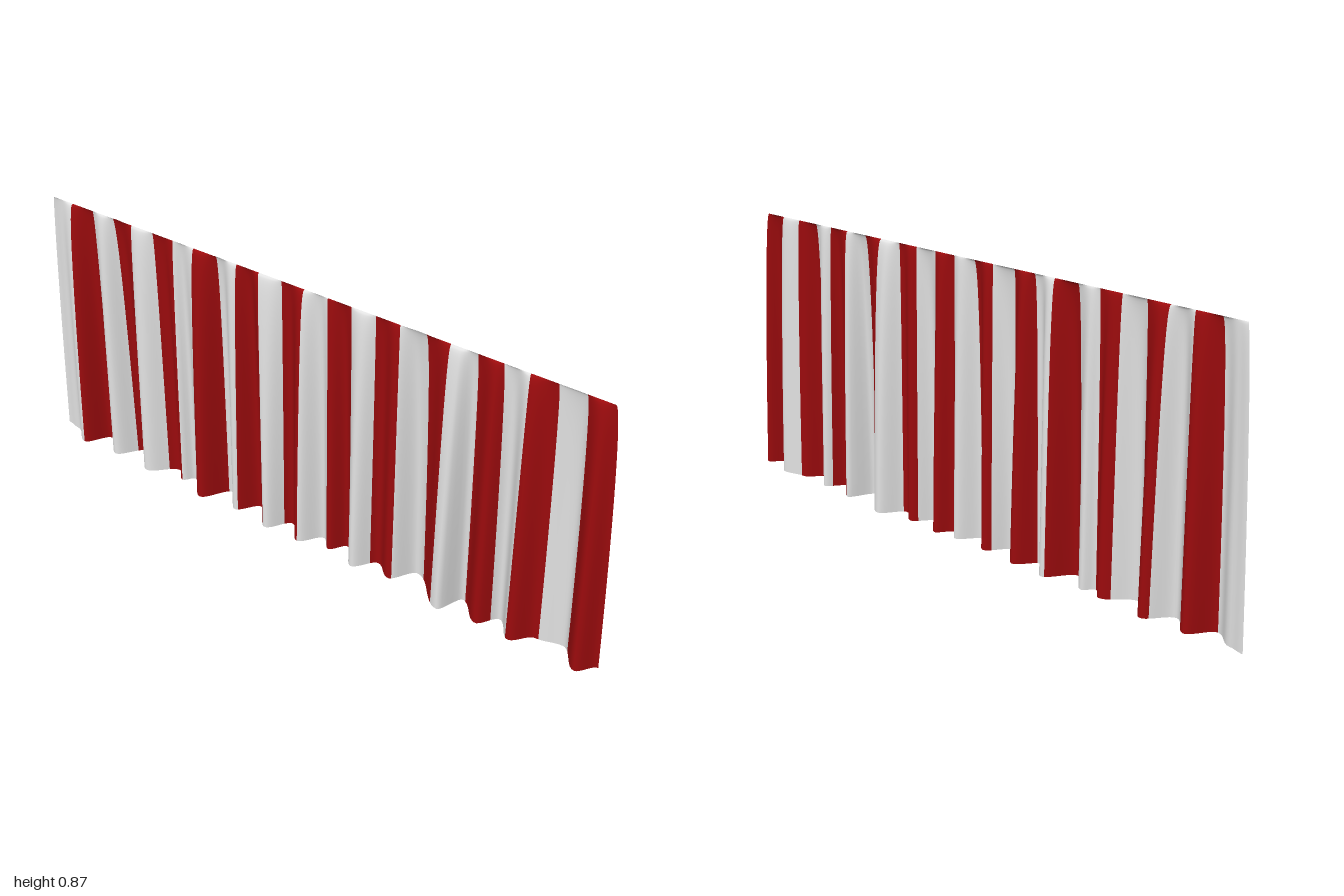
import * as THREE from 'three';

const HEIGHT = 0.865;
const TOP_HALF = 0.95;

// Stripe edges along the bottom hem, from front to back
const STRIPE_Z = [1, 0.9, 0.81, 0.73, 0.66, 0.56, 0.48, 0.41, 0.33, 0.24, 0.17, 0.09, 0.0,
  -0.08, -0.13, -0.24, -0.32, -0.4, -0.48, -0.55, -0.63, -0.7, -0.8, -0.88, -1];

// Crests and troughs of the folds along the bottom hem: [z, x]
const FOLDS = [[1, 0.01], [0.95, -0.04], [0.88, 0.03], [0.8, 0.012], [0.74, -0.04], [0.68, 0.02],
  [0.63, -0.035], [0.55, 0.03], [0.51, -0.05], [0.38, 0.05], [0.32, -0.02], [0.26, 0.02],
  [0.2, -0.04], [0.14, 0.03], [0.1, -0.015], [0.06, 0.02], [0, -0.04], [-0.06, 0.02],
  [-0.12, -0.045], [-0.19, 0.03], [-0.25, -0.03], [-0.31, 0.035], [-0.38, -0.045],
  [-0.45, 0.02], [-0.48, -0.01], [-0.52, 0.025], [-0.61, -0.038], [-0.68, 0.04],
  [-0.75, -0.03], [-0.82, 0.03], [-0.88, -0.04], [-0.95, 0.005], [-1, 0.015]];

// Smooth blend between neighbouring fold crests
function foldAt(z) {
  let i = 0;
  while (i < FOLDS.length - 2 && FOLDS[i + 1][0] > z) i++;
  const [z0, x0] = FOLDS[i], [z1, x1] = FOLDS[i + 1];
  const k = THREE.MathUtils.clamp((z0 - z) / (z0 - z1), 0, 1);
  return x0 + (x1 - x0) * (0.5 - 0.5 * Math.cos(Math.PI * k));
}

export function createModel() {
  const group = new THREE.Group();
  group.name = 'stripedCurtain';

  const red = new THREE.MeshStandardMaterial({ color: 0x9b0b0d, side: THREE.DoubleSide });
  red.name = 'curtain red';
  const white = new THREE.MeshStandardMaterial({ color: 0xe2e2e2, side: THREE.DoubleSide });
  white.name = 'curtain white';

  const stripes = STRIPE_Z.length - 1, perStripe = 12, rows = 32;
  const columns = stripes * perStripe;
  const positions = [], indices = [];

  // Cloth sheet: straight along the top, folds deepening towards the hem
  for (let c = 0; c <= columns; c++) {
    const s = Math.min(Math.floor(c / perStripe), stripes - 1);
    const zBottom = THREE.MathUtils.lerp(STRIPE_Z[s], STRIPE_Z[s + 1], c / perStripe - s);
    const zTop = TOP_HALF * (1 - 2 * c / columns);
    const fold = foldAt(zBottom);
    for (let r = 0; r <= rows; r++) {
      const t = (r / rows) ** 1.7; // rows crowd towards the top
      const pleat = 0.005 * Math.sin(zTop * 78) * t ** 0.4 * (1 - t) ** 2;
      const x = fold * t ** 0.36 + pleat;
      const z = THREE.MathUtils.lerp(zTop, zBottom, t ** 0.55);
      positions.push(x, HEIGHT * (1 - t), z);
    }
  }

  const geometry = new THREE.BufferGeometry();
  for (let c = 0; c < columns; c++) {
    for (let r = 0; r < rows; r++) {
      const a = c * (rows + 1) + r, b = a + rows + 1;
      indices.push(a, a + 1, b, a + 1, b + 1, b);
    }
  }
  geometry.setAttribute('position', new THREE.Float32BufferAttribute(positions, 3));
  geometry.setIndex(indices);
  geometry.computeVertexNormals();

  // Alternate the two colours stripe by stripe
  const count = perStripe * rows * 6;
  for (let s = 0; s < stripes; s++) geometry.addGroup(s * count, count, s % 2);

  const curtain = new THREE.Mesh(geometry, [red, white]);
  curtain.name = 'curtainCloth';
  group.add(curtain);
  return group;
}
